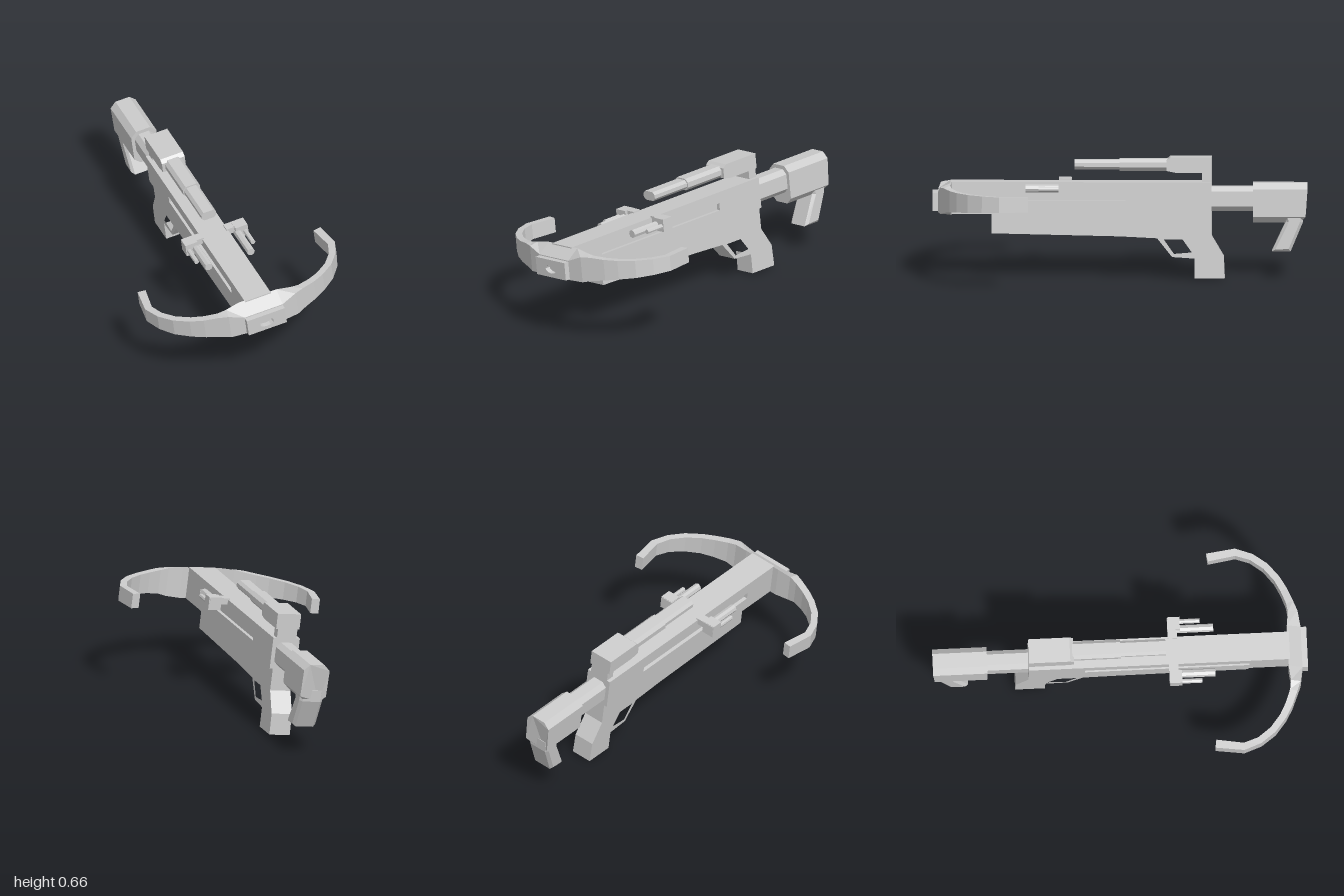
import * as THREE from 'three';

const material = new THREE.MeshStandardMaterial({ color: 0xcccccc, flatShading: true });

function add(parent, name, geometry) {
  const mesh = new THREE.Mesh(geometry, material);
  mesh.name = name;
  parent.add(mesh);
  return mesh;
}

const toShape = (pts) => new THREE.Shape(pts.map(([a, b]) => new THREE.Vector2(a, b)));

// Side profile in (z, y), extruded across x and centred on xc
function sidePlate(profile, width, hole, xc = 0, bevel = 0) {
  const shape = toShape(profile);
  if (hole) shape.holes.push(toShape(hole));
  const depth = width - 2 * bevel;
  const g = new THREE.ExtrudeGeometry(shape, {
    depth, bevelEnabled: bevel > 0, bevelSize: bevel, bevelThickness: bevel, bevelOffset: -bevel, bevelSegments: 1,
  });
  return g.rotateY(-Math.PI / 2).translate(depth / 2 + xc, 0, 0);
}

// Eight-sided prism running along z, with chamfered corners
function prism(w, h, c, z0, z1, y) {
  const a = w / 2, b = h / 2;
  const shape = toShape([
    [a, c - b], [a, b - c], [a - c, b], [c - a, b], [-a, b - c], [-a, c - b], [c - a, -b], [a - c, -b],
  ]);
  return new THREE.ExtrudeGeometry(shape, { depth: z1 - z0, bevelEnabled: false }).translate(0, y, z0);
}

// Bow limbs: four-cornered sections swept along a mirrored path
function bowGeometry() {
  // x, z, half thickness, front top, front bottom, back top, back bottom
  const half = [
    [0.11, 0.928, 0.037, 0.04, -0.068, 0.09, -0.08],
    [0.19, 0.926, 0.026, 0.07, -0.07, 0.08, -0.074],
    [0.24, 0.912, 0.02, 0.07, -0.06, 0.07, -0.06],
    [0.31, 0.885, 0.019, 0.062, -0.053, 0.062, -0.053],
    [0.375, 0.85, 0.018, 0.057, -0.047, 0.057, -0.047],
    [0.446, 0.793, 0.018, 0.053, -0.043, 0.053, -0.043],
    [0.5, 0.72, 0.018, 0.05, -0.038, 0.05, -0.038],
    [0.53, 0.635, 0.02, 0.047, -0.035, 0.047, -0.035],
    [0.508, 0.485, 0.022, 0.046, -0.034, 0.046, -0.034],
  ];
  const path = [...half.map(([x, ...rest]) => [-x, ...rest]).reverse(), ...half];
  const pos = [], idx = [];
  path.forEach(([x, z, t, ft, fb, bt, bb], i) => {
    const p = path[Math.max(i - 1, 0)], q = path[Math.min(i + 1, path.length - 1)];
    const n = new THREE.Vector2(p[1] - q[1], q[0] - p[0]).normalize().multiplyScalar(t);
    pos.push(x - n.x, bt, z - n.y, x + n.x, ft, z + n.y, x + n.x, fb, z + n.y, x - n.x, bb, z - n.y);
    if (i === path.length - 1) return;
    for (let j = 0; j < 4; j++) {
      const a = i * 4 + j, b = i * 4 + (j + 1) % 4;
      idx.push(a, b, b + 4, a, b + 4, a + 4);
    }
  });
  const e = (path.length - 1) * 4;
  idx.push(e, e + 1, e + 2, e, e + 2, e + 3, 2, 1, 0, 3, 2, 0);
  const g = new THREE.BufferGeometry();
  g.setAttribute('position', new THREE.Float32BufferAttribute(pos, 3));
  g.setIndex(idx);
  const flat = g.toNonIndexed();
  flat.computeVertexNormals();
  return flat;
}

export function createModel() {
  const model = new THREE.Group();
  model.name = 'crossbow';

  // Upper body: narrow core with grooved panels on both sides
  add(model, 'bodyCore', new THREE.BoxGeometry(0.11, 0.17, 1.39)).position.set(0, 0.005, 0.205);
  const panel = [[-0.49, -0.08], [0.9, -0.08], [0.9, 0.09], [-0.49, 0.09]];
  const groove = [[-0.19, -0.01], [-0.19, 0.03], [0.685, 0.03], [0.685, -0.01]];
  for (const s of [-1, 1]) add(model, 'sidePanel', sidePlate(panel, 0.02, groove, s * 0.065));

  // Lower body, trigger guard and grip in one profile
  add(model, 'lowerBodyAndGrip', sidePlate([
    [0.68, -0.075], [0.68, -0.185], [0, -0.2], [-0.2, -0.21], [-0.28, -0.31], [-0.4, -0.318],
    [-0.4, -0.425], [-0.56, -0.425], [-0.555, -0.31], [-0.49, -0.2], [-0.49, -0.075],
  ], 0.115, [[-0.235, -0.215], [-0.29, -0.293], [-0.385, -0.285], [-0.335, -0.215]]));

  // Shoulder stock
  add(model, 'stockTube', prism(0.108, 0.13, 0.025, -0.72, -0.48, 0));
  const butt = prism(0.145, 0.21, 0.032, -1, -0.71, -0.02);
  const p = butt.attributes.position;
  for (let i = 0; i < p.count; i++) if (p.getZ(i) < -0.9 && p.getY(i) < -0.05) p.setZ(i, p.getY(i) < -0.1 ? -0.965 : -0.99);
  butt.computeVertexNormals();
  add(model, 'stockButt', butt);
  add(model, 'stockHook', sidePlate([
    [-0.87, -0.06], [-0.885, -0.12], [-0.81, -0.28], [-0.91, -0.28], [-0.975, -0.125], [-0.98, -0.06],
  ], 0.13, null, 0, 0.015));

  // Scope and its post
  add(model, 'scopeFrontTube', prism(0.085, 0.05, 0.015, 0, 0.24, 0.18));
  add(model, 'scopeRearTube', prism(0.098, 0.064, 0.018, -0.26, 0, 0.18));
  add(model, 'scopeHousing', sidePlate([
    [-0.25, 0.15], [-0.25, 0.205], [-0.27, 0.223], [-0.49, 0.223], [-0.49, 0.14], [-0.3, 0.14],
  ], 0.132));
  add(model, 'scopePost', new THREE.BoxGeometry(0.11, 0.08, 0.05)).position.set(0, 0.115, -0.465);

  // Side brackets, each carrying a long and a short rod
  for (const s of [-1, 1]) {
    const bracket = new THREE.Group();
    bracket.name = 'sideBracket';
    model.add(bracket);
    add(bracket, 'bracketArm', new THREE.BoxGeometry(0.11, 0.035, 0.05)).position.set(s * 0.12, 0.08, 0.28);
    add(bracket, 'bracketBlock', new THREE.BoxGeometry(0.07, 0.07, 0.065)).position.set(s * 0.145, 0.065, 0.29);
    for (const [name, x, r, z1] of [['longRod', 0.122, 0.022, 0.5], ['shortRod', 0.163, 0.013, 0.43]]) {
      const rod = new THREE.CylinderGeometry(r, r, z1 - 0.28, 8).rotateX(Math.PI / 2);
      add(bracket, name, rod).position.set(s * x, 0.06, (z1 + 0.28) / 2);
    }
  }

  // Bow and its nose plate with an oval recess
  add(model, 'bow', bowGeometry());
  const nose = toShape([[-0.11, -0.062], [0.11, -0.062], [0.11, 0.035], [-0.11, 0.035]]);
  nose.holes.push(new THREE.Path().absellipse(0, -0.018, 0.04, 0.023, 0, Math.PI * 2, true));
  const plate = new THREE.ExtrudeGeometry(nose, { depth: 0.035, bevelEnabled: false, curveSegments: 6 });
  add(model, 'nosePlate', plate.translate(0, 0, 0.96));

  // The whole bow stands slightly turned and tilted
  model.rotation.set(0, 0.124, 0.125, 'YXZ');
  model.position.set(-0.083, 0.43, 0);
  const root = new THREE.Group();
  root.name = 'crossbowRoot';
  root.add(model);
  return root;
}
